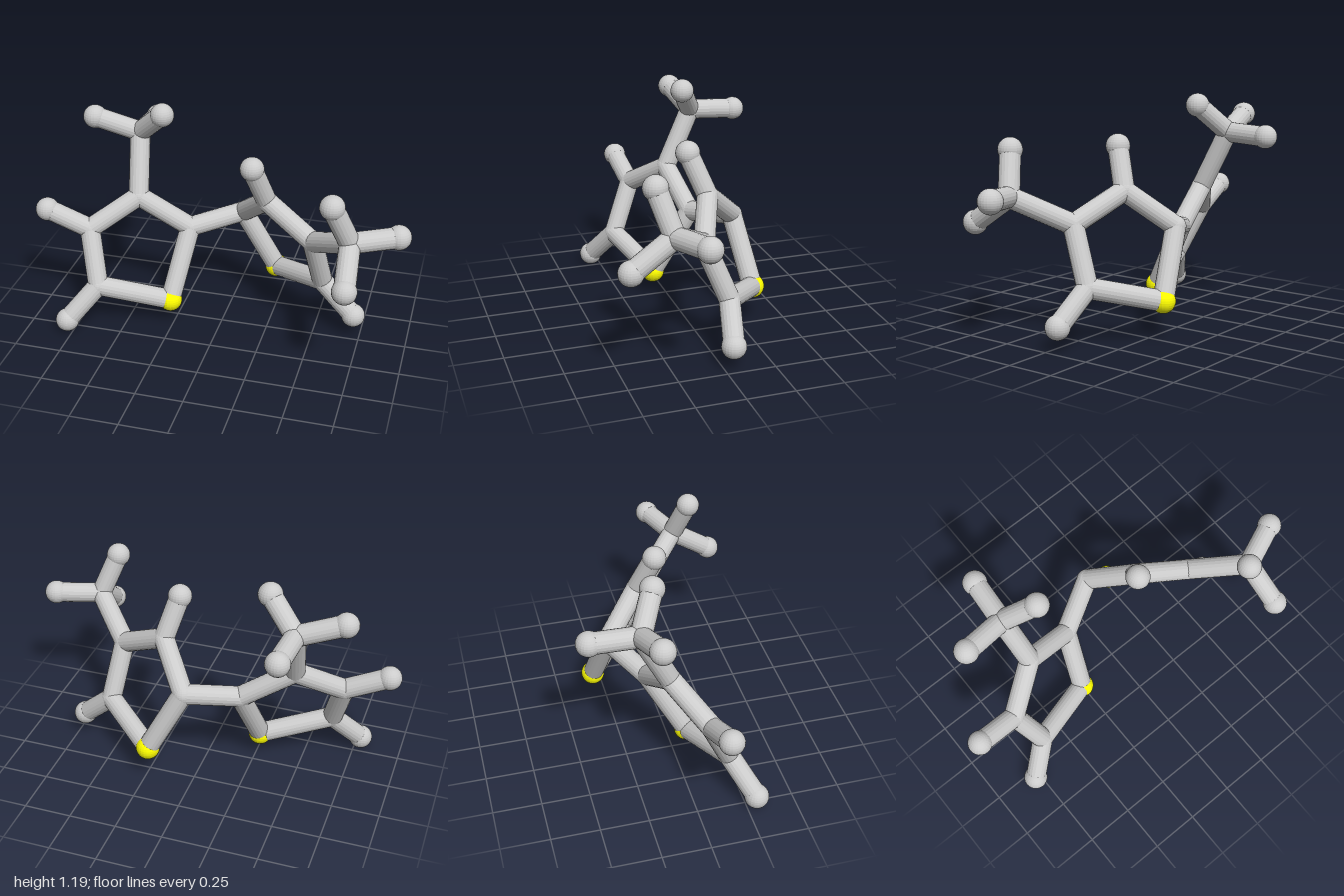
import * as THREE from 'three';

const grey = new THREE.MeshStandardMaterial({ color: 0xcccccc, flatShading: true });
const yellow = new THREE.MeshStandardMaterial({ color: 0xffff00, flatShading: true });

const BOND_RADIUS = 0.054;
const RADII = { C: 0.055, H: 0.063, S: 0.063 };

// Each half: atom name -> position (first letter is the element), and its bonds
const halves = {
  rightHalf: {
    atoms: {
      S1: [-0.27, 0.14, 0.07], C2: [-0.21, 0.495, -0.125], C3: [-0.48, 0.67, -0.075],
      C4: [-0.71, 0.52, 0.075], C5: [-0.635, 0.245, 0.193],
      H4: [-0.935, 0.62, 0.1], H5: [-0.78, 0.07, 0.3],
      C6: [-0.51, 0.98, -0.225],
      H6: [-0.745, 1.06, -0.18], H7: [-0.355, 1.13, -0.13], H8: [-0.49, 0.97, -0.47],
    },
    bonds: 'S1-C2 C2-C3 C3-C4 C4-C5 C5-S1 C4-H4 C5-H5 C3-C6 C6-H6 C6-H7 C6-H8',
  },
  leftHalf: {
    atoms: {
      S1: [0.23, 0.205, -0.325], C2: [0.05, 0.55, -0.272], C3: [0.22, 0.735, -0.075],
      C4: [0.49, 0.59, 0.035], C5: [0.53, 0.295, -0.085],
      H3: [0.16, 0.95, 0.01], H5: [0.71, 0.13, -0.045],
      C6: [0.71, 0.735, 0.255],
      H6: [0.625, 0.953, 0.32], H7: [0.935, 0.75, 0.162], H8: [0.725, 0.59, 0.47],
    },
    bonds: 'S1-C2 C2-C3 C3-C4 C4-C5 C5-S1 C3-H3 C5-H5 C4-C6 C6-H6 C6-H7 C6-H8',
  },
};

const names = { C: 'carbonJoint', H: 'hydrogenBall', S: 'sulfurBall' };

function makeAtom(element, position) {
  const mesh = new THREE.Mesh(
    new THREE.SphereGeometry(RADII[element], 24, 16),
    element === 'S' ? yellow : grey
  );
  mesh.position.set(...position);
  mesh.name = names[element];
  return mesh;
}

// A rod running between two atom centres
function makeBond(from, to, name = 'bond') {
  const a = new THREE.Vector3(...from);
  const b = new THREE.Vector3(...to);
  const direction = b.clone().sub(a);
  const mesh = new THREE.Mesh(
    new THREE.CylinderGeometry(BOND_RADIUS, BOND_RADIUS, direction.length(), 20),
    grey
  );
  mesh.position.copy(a).add(b).multiplyScalar(0.5);
  mesh.quaternion.setFromUnitVectors(new THREE.Vector3(0, 1, 0), direction.normalize());
  mesh.name = name;
  return mesh;
}

export function createModel() {
  const model = new THREE.Group();
  model.name = 'molecule';

  // Two five-sided rings, each with a three-pronged side branch
  for (const [name, { atoms, bonds }] of Object.entries(halves)) {
    const half = new THREE.Group();
    half.name = name;
    for (const [label, position] of Object.entries(atoms)) half.add(makeAtom(label[0], position));
    for (const pair of bonds.split(' ')) {
      const [from, to] = pair.split('-');
      half.add(makeBond(atoms[from], atoms[to]));
    }
    model.add(half);
  }

  // Rod joining the rings
  model.add(makeBond(halves.rightHalf.atoms.C2, halves.leftHalf.atoms.C2, 'linkingBond'));
  return model;
}
